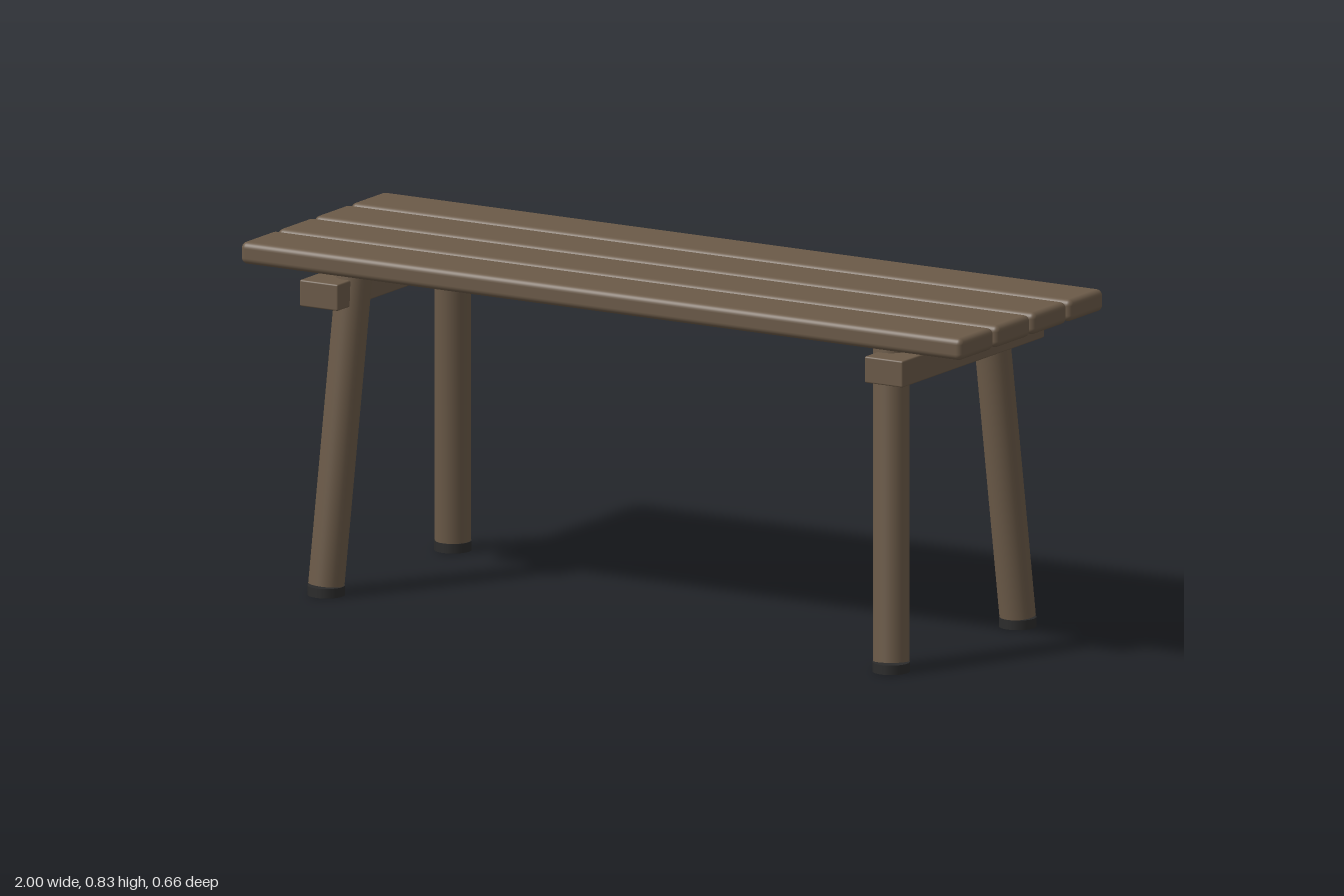
import * as THREE from 'three';
import { RoundedBoxGeometry } from 'three/addons/geometries/RoundedBoxGeometry.js';

export function createModel() {
  const wood = new THREE.MeshStandardMaterial({ color: 0x6b5a48 });
  wood.name = 'brownWood';
  const rubber = new THREE.MeshStandardMaterial({ color: 0x2b2b2b });
  rubber.name = 'darkRubber';

  const bench = new THREE.Group();
  bench.name = 'bench';

  const add = (name, geometry, material, x, y, z) => {
    const mesh = new THREE.Mesh(geometry, material);
    mesh.name = name;
    mesh.position.set(x, y, z);
    bench.add(mesh);
    return mesh;
  };

  // Four seat planks with rounded edges
  const plank = new RoundedBoxGeometry(2, 0.053, 0.153, 4, 0.015);
  for (let i = 0; i < 4; i++) {
    add('seatPlank' + (i + 1), plank, wood, 0, 0.8075, (1.5 - i) * 0.164);
  }

  // Crossbeams, splayed legs and level foot caps
  const beam = new RoundedBoxGeometry(0.106, 0.064, 0.638, 2, 0.004);
  const foot = new THREE.CylinderGeometry(0.0445, 0.0445, 0.023, 32);
  const up = new THREE.Vector3(0, 1, 0);
  for (const sx of [1, -1]) {
    const side = sx > 0 ? 'left' : 'right';
    add(side + 'Crossbeam', beam, wood, sx * 0.783, 0.7295, 0);

    for (const sz of [1, -1]) {
      const name = side + (sz > 0 ? 'Front' : 'Back');
      const bottom = new THREE.Vector3(sx * 0.783, 0.025, sz * 0.284);
      const top = new THREE.Vector3(sx * 0.744, 0.775, sz * 0.22);
      const axis = top.clone().sub(bottom);
      const mid = bottom.clone().add(top).multiplyScalar(0.5);
      const legGeometry = new THREE.CylinderGeometry(0.043, 0.043, axis.length(), 32);
      add(name + 'Leg', legGeometry, wood, mid.x, mid.y, mid.z)
        .quaternion.setFromUnitVectors(up, axis.normalize());
      add(name + 'Foot', foot, rubber, sx * 0.783, 0.0115, sz * 0.284);
    }
  }
  return bench;
}
